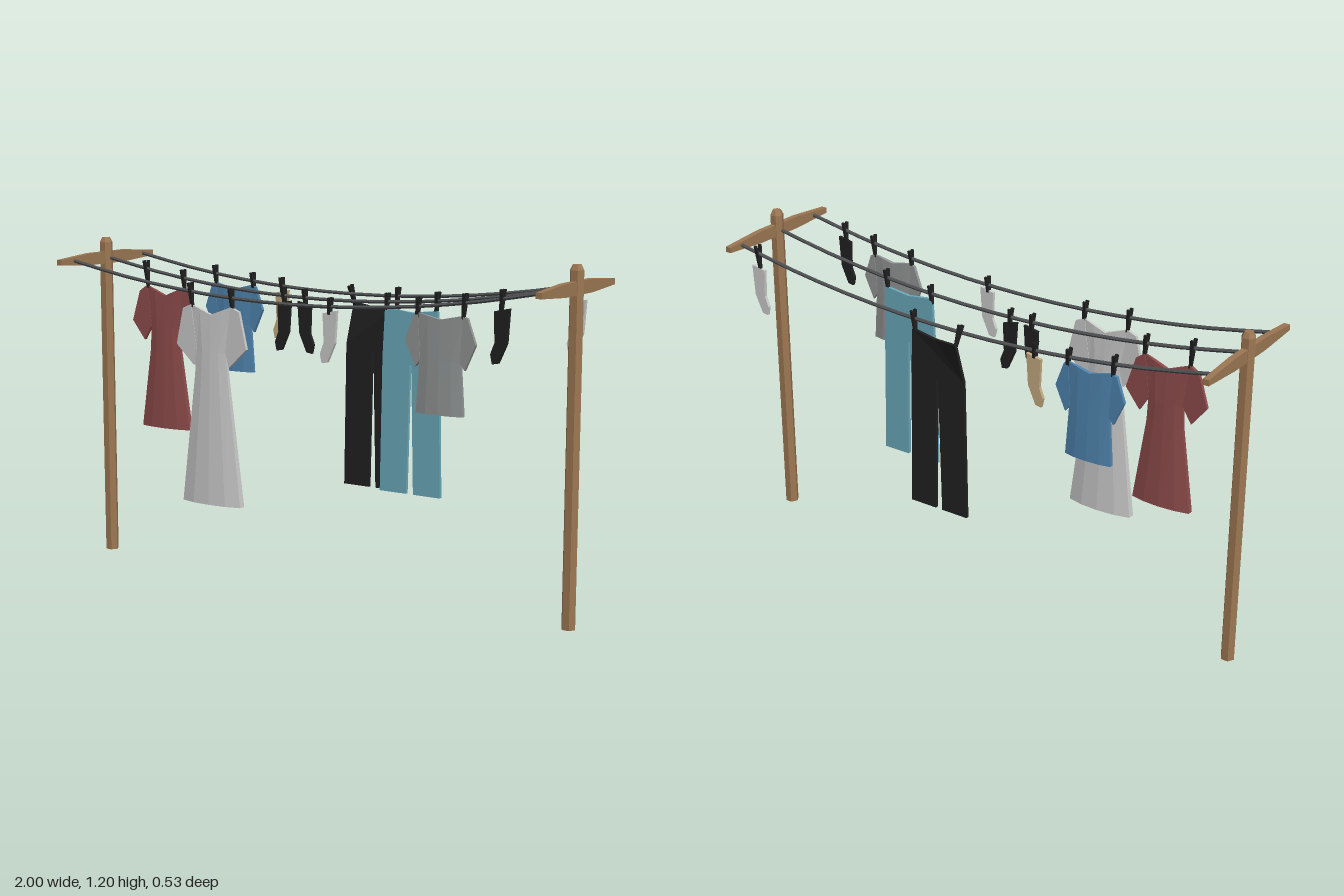
import * as THREE from 'three';

const mat = (name, color) => {
  const m = new THREE.MeshStandardMaterial({ color, flatShading: true });
  m.name = name;
  return m;
};

export function createModel() {
  const wood = mat('wood', 0x9c7753), cord = mat('cord grey', 0x505254);
  const black = mat('black', 0x212121), red = mat('dusty red', 0x8f4c4c);
  const blue = mat('blue', 0x4f84ae), teal = mat('teal', 0x6ba9bb);
  const grey = mat('grey', 0x929595), white = mat('off white', 0xcbcbcb);
  const beige = mat('beige', 0xc4aa80);
  const BACK = -0.203, MID = 0, FRONT = 0.192;

  const root = new THREE.Group();
  root.name = 'clothesline';
  const add = (name, geo, m, parent = root) => {
    const mesh = new THREE.Mesh(geo, m);
    mesh.name = name;
    parent.add(mesh);
    return mesh;
  };
  const group = (name, x = 0, z = 0) => {
    const g = new THREE.Group();
    g.name = name;
    g.position.set(x, 0, z);
    root.add(g);
    return g;
  };
  // Flat panel from an outline, centred on z = 0
  const panel = (pts, depth) => new THREE.ExtrudeGeometry(
    new THREE.Shape(pts.map(p => new THREE.Vector2(...p))),
    { depth, bevelEnabled: false }).translate(0, 0, -depth / 2);
  const lineY = x => 1.03 + 0.1 * (x / 0.97) ** 2;

  // Hexagonal posts with chamfered tops, and tapered crossarms
  for (const s of [-1, 1]) {
    const x = s * 0.975;
    add('post', new THREE.CylinderGeometry(0.025, 0.025, 1.185, 6, 1, false, Math.PI / 2), wood)
      .position.set(x, 0.5925, 0);
    add('postCap', new THREE.CylinderGeometry(0.016, 0.025, 0.018, 6, 1, false, Math.PI / 2), wood)
      .position.set(x, 1.194, 0);
    const arm = panel([[-0.265, 1.117], [-0.1, 1.106], [0.1, 1.106], [0.265, 1.117],
      [0.265, 1.137], [0.1, 1.15], [-0.1, 1.15], [-0.265, 1.137]], 0.022);
    arm.rotateY(Math.PI / 2);
    add('crossarm', arm, wood).position.x = x;
  }

  // Three sagging lines
  for (const z of [BACK, MID, FRONT]) {
    const path = new THREE.CurvePath();
    const pts = [];
    for (let i = 0; i <= 8; i++) {
      const x = -0.972 + i * 0.243;
      pts.push(new THREE.Vector3(x, lineY(x), z));
    }
    for (let i = 0; i < 8; i++) path.add(new THREE.LineCurve3(pts[i], pts[i + 1]));
    add('line', new THREE.TubeGeometry(new THREE.CatmullRomCurve3(pts), 16, 0.0065, 6), cord);
  }

  // Clothes peg: two crossed prongs gripping the line and the cloth
  const peg = (x, z, clothY, lean = 0) => {
    const g = group('peg', x, z);
    const top = lineY(x) + 0.032, bottom = Math.min(clothY - 0.012, top - 0.07);
    g.position.y = (top + bottom) / 2;
    g.rotation.set(lean, 0, x < 0 ? 0.08 : -0.08);
    for (const s of [-1, 1]) {
      const prong = add('pegProng', new THREE.BoxGeometry(0.011, top - bottom, 0.008), black, g);
      prong.position.z = s * 0.005;
      prong.rotation.x = s * 0.13;
    }
  };

  // Hollow-looking body: lens-shaped cross-sections, rows of [y, half width]
  const U = [-1, -0.55, 0, 0.55, 1], LENS = [0.4, 0.85, 1, 0.85, 0.4];
  const bodyGeometry = (rows, dip) => {
    const pos = [], idx = [], top = rows[0][0];
    rows.forEach(([y, w], r) => {
      const t = 0.007 + 0.034 * (top - y);
      for (let j = 0; j < 10; j++) {
        const k = j < 5 ? j : 9 - j;
        pos.push(U[k] * w, r ? y : y - dip * (1 - Math.abs(U[k])), (j < 5 ? 1 : -1) * t * LENS[k]);
      }
    });
    const last = (rows.length - 1) * 10;
    for (let r = 0; r < last; r += 10) for (let j = 0; j < 10; j++) {
      const a = r + j, b = r + (j + 1) % 10;
      idx.push(a, a + 10, b, b, a + 10, b + 10);
    }
    for (let j = 0; j < 4; j++) {
      const f = j, g = j + 1, b = 9 - j, c = 8 - j;
      idx.push(f, g, b, g, c, b);
      idx.push(last + f, last + b, last + g, last + g, last + b, last + c);
    }
    let geo = new THREE.BufferGeometry();
    geo.setAttribute('position', new THREE.Float32BufferAttribute(pos, 3));
    geo.setIndex(idx);
    geo = geo.toNonIndexed();
    geo.computeVertexNormals();
    return geo;
  };

  // Dress or shirt: body rows plus mirrored sleeves
  const garment = (name, x, z, m, rows, sleeve, dip) => {
    const g = group(name, x, z);
    add('body', bodyGeometry(rows, dip), m, g);
    for (const s of [-1, 1])
      add('sleeve', panel(sleeve.map(([a, b]) => [s * a, b]), 0.012), m, g);
    for (const s of [-1, 1]) peg(x + s * rows[0][1], z, rows[0][0]);
  };
  garment('redDress', -0.693, MID, red,
    [[1.035, 0.086], [0.88, 0.066], [0.8, 0.069], [0.505, 0.11]],
    [[0.084, 1.035], [0.118, 1.012], [0.153, 0.9], [0.098, 0.83], [0.064, 0.885]], 0.035);
  garment('whiteDress', -0.337, FRONT, white,
    [[1.005, 0.088], [0.84, 0.064], [0.75, 0.072], [0.295, 0.126]],
    [[0.086, 1.005], [0.122, 0.99], [0.152, 0.86], [0.077, 0.79], [0.062, 0.845]], 0.032);
  const shirtSleeve = [[0.084, 1.035], [0.1, 1.03], [0.131, 0.945], [0.092, 0.86], [0.074, 0.885]];
  const shirtRows = [[1.038, 0.086], [0.885, 0.077], [0.708, 0.088]];
  garment('blueShirt', -0.527, BACK, blue, shirtRows, shirtSleeve, 0.022);
  garment('greyShirt', 0.589, FRONT, grey, shirtRows, shirtSleeve, 0.018);

  // Trousers: one panel with a gap between the legs; fold pushes the top right corner back
  const trousers = (name, x, z, m, top, hem, fold) => {
    const geo = panel([[-0.103, top], [0, top - 0.012], [0.103, top], [0.11, 0.85], [0.12, hem],
      [0.014, hem], [0.003, 0.83], [-0.003, 0.83], [-0.014, hem], [-0.12, hem], [-0.112, 0.85]], 0.012);
    const p = geo.attributes.position;
    for (let i = 0; i < p.count; i++) {
      const up = Math.max(0, (p.getY(i) - 0.85) / (top - 0.85));
      const side = Math.max(0, 0.3 - p.getX(i) / 0.15);
      p.setZ(i, p.getZ(i) - fold * up * side);
    }
    geo.computeVertexNormals();
    add(name, geo, m).position.set(x, 0, z);
    peg(x - 0.098, z - fold * 0.4, top, fold ? 0.3 : 0);
    peg(x + 0.098, z, top);
  };
  trousers('blackTrousers', 0.085, BACK - 0.003, black, 0.998, 0.333, 0.035);
  trousers('tealTrousers', 0.365, MID, teal, 1.02, 0.38, 0);

  // Socks: dir is the way the toe points along x
  const sock = (x, z, m, top, dir) => {
    const pts = [[0.026, 0], [-0.03, 0.012], [-0.022, -0.1], [0.008, -0.166], [0.03, -0.17],
      [0.037, -0.138], [0.022, -0.1]].map(([a, b]) => [a * dir, b + top]);
    add('sock', panel(pts, 0.012), m).position.set(x, 0, z);
    peg(x, z, top);
  };
  sock(-0.16, MID, black, 1.005, -1);
  sock(-0.07, MID, black, 1.005, 1);
  sock(-0.31, BACK, beige, 1.015, -1);
  sock(0.16, FRONT, white, 1.01, -1);
  sock(0.81, FRONT, black, 1.06, -1);
  sock(0.885, BACK, white, 1.055, -1);

  return root;
}
